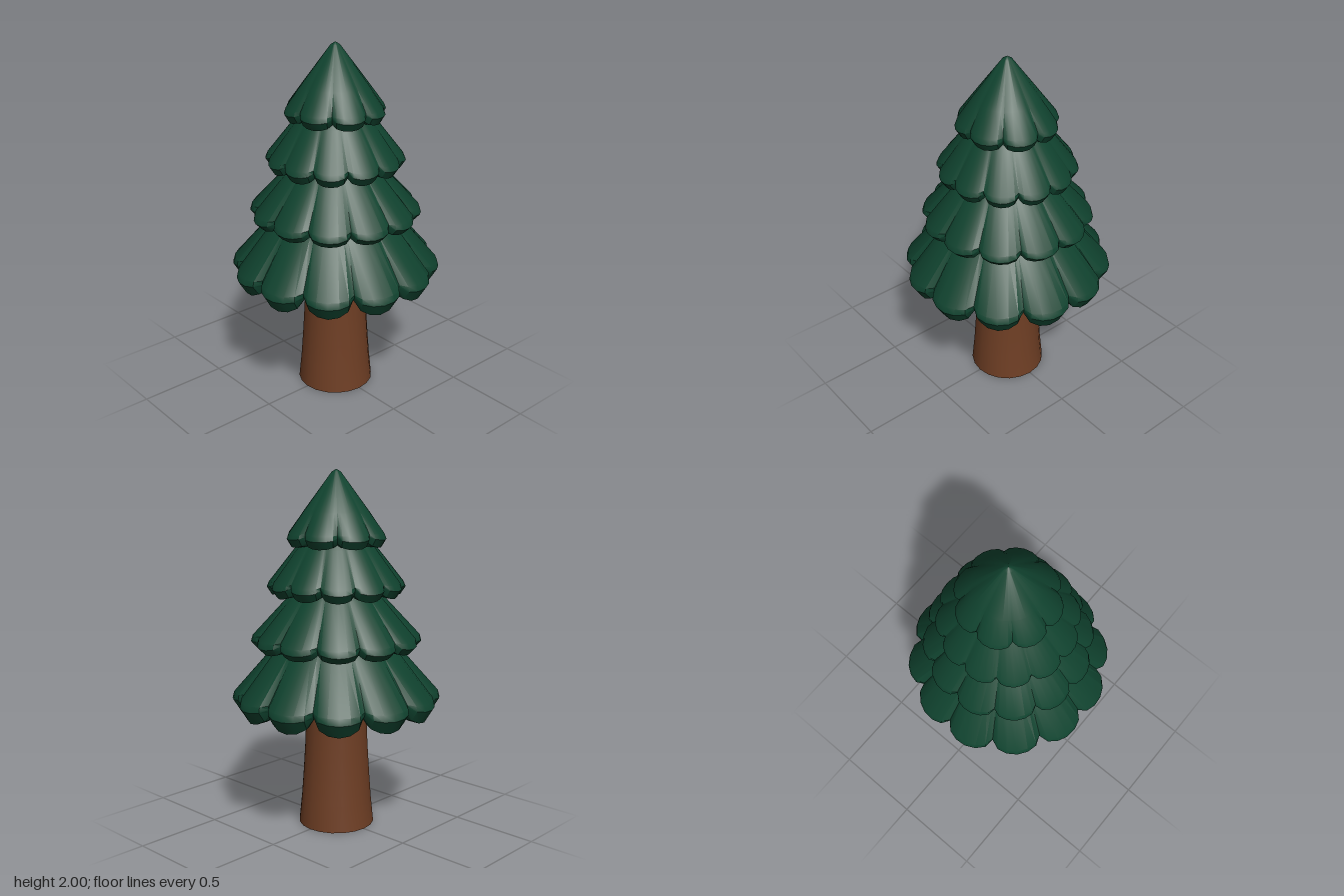
import * as THREE from 'three';
import { toCreasedNormals } from 'three/addons/utils/BufferGeometryUtils.js';

const foliageGreen = new THREE.MeshStandardMaterial({ color: 0x10432f });
const barkBrown = new THREE.MeshStandardMaterial({ color: 0x6e3e24 });

// Position of each rim point across one lobe, from notch to notch
const LOBE_STEPS = [0, 0.12, 0.3, 0.5, 0.7, 0.88];

// Each ring: notch radius, notch height, lobe radius, lobe height; from apex down, then under the rim
const TIERS = [
  { name: 'bottomTier', lobes: 12, rings: [
    [0.24, 1.15, 0.24, 1.15], [0.35, 1.02, 0.355, 1.02], [0.515, 0.785, 0.575, 0.772], [0.512, 0.765, 0.585, 0.735],
    [0.49, 0.745, 0.54, 0.66], [0.45, 0.75, 0.47, 0.665], [0.3, 0.79, 0.3, 0.75], [0.14, 0.83, 0.14, 0.83]] },
  { name: 'lowerMiddleTier', lobes: 12, rings: [
    [0.16, 1.42, 0.16, 1.42], [0.25, 1.32, 0.255, 1.32], [0.425, 1.105, 0.465, 1.095], [0.425, 1.09, 0.475, 1.06],
    [0.405, 1.06, 0.44, 1.025], [0.37, 1.06, 0.38, 1.03], [0.27, 1.08, 0.27, 1.08]] },
  { name: 'upperMiddleTier', lobes: 12, rings: [
    [0.14, 1.68, 0.14, 1.68], [0.215, 1.585, 0.22, 1.585], [0.345, 1.405, 0.37, 1.395], [0.345, 1.39, 0.383, 1.365],
    [0.325, 1.36, 0.355, 1.322], [0.28, 1.35, 0.29, 1.33], [0.19, 1.37, 0.19, 1.37]] },
  { name: 'topTier', lobes: 8, rings: [
    [0, 2, 0, 2], [0.025, 1.985, 0.025, 1.985], [0.175, 1.775, 0.182, 1.775], [0.24, 1.665, 0.268, 1.66], [0.24, 1.65, 0.28, 1.63],
    [0.225, 1.62, 0.255, 1.588], [0.2, 1.61, 0.215, 1.59], [0.13, 1.63, 0.13, 1.63]] },
];

// Scalloped skirt built from rings of lobed cross-sections
function tierGeometry({ lobes, rings }) {
  const count = lobes * LOBE_STEPS.length;
  const positions = [], index = [];
  for (const [notchR, notchY, lobeR, lobeY] of rings) {
    for (let i = 0; i < count; i++) {
      const t = LOBE_STEPS[i % LOBE_STEPS.length];
      const bulge = Math.sqrt(Math.sin(Math.PI * t));
      const angle = (Math.floor(i / LOBE_STEPS.length) + t) / lobes * Math.PI * 2;
      const r = notchR + (lobeR - notchR) * bulge;
      positions.push(r * Math.sin(angle), notchY + (lobeY - notchY) * bulge, r * Math.cos(angle));
    }
  }
  for (let k = 0; k < rings.length - 1; k++) {
    for (let i = 0; i < count; i++) {
      const j = (i + 1) % count;
      const a = k * count + i, b = k * count + j, c = a + count, d = b + count;
      if (rings[k][0] > 0) index.push(a, d, b);
      index.push(a, c, d);
    }
  }
  const geometry = new THREE.BufferGeometry();
  geometry.setAttribute('position', new THREE.Float32BufferAttribute(positions, 3));
  geometry.setIndex(index);
  return toCreasedNormals(geometry, 0.55);
}

export function createModel() {
  const tree = new THREE.Group();
  tree.name = 'pineTree';

  // Flared trunk with a closed base
  const profile = [[0, 0], [0.215, 0], [0.2, 0.15], [0.189, 0.3], [0.178, 0.48], [0.173, 0.64], [0.172, 0.86]]
    .map(([r, y]) => new THREE.Vector2(r, y));
  const trunk = new THREE.Mesh(toCreasedNormals(new THREE.LatheGeometry(profile, 20), 0.6), barkBrown);
  trunk.name = 'trunk';
  tree.add(trunk);

  // Stacked foliage tiers
  for (const tier of TIERS) {
    const mesh = new THREE.Mesh(tierGeometry(tier), foliageGreen);
    mesh.name = tier.name;
    tree.add(mesh);
  }
  return tree;
}
